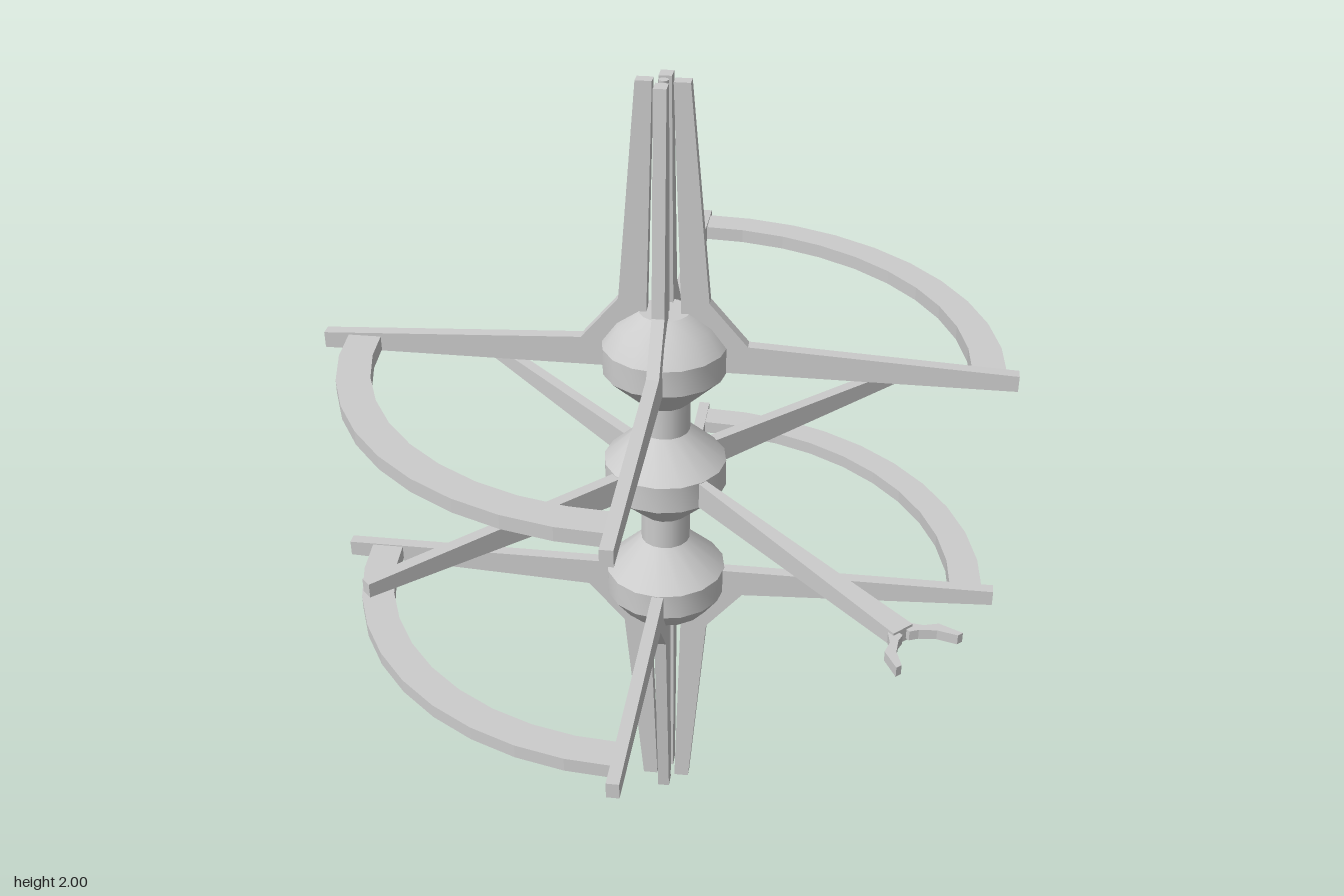
import * as THREE from 'three';
import { toCreasedNormals } from 'three/addons/utils/BufferGeometryUtils.js';

const material = new THREE.MeshStandardMaterial({ color: 0xcccccc });

function add(parent, name, geometry) {
  const mesh = new THREE.Mesh(geometry, material);
  mesh.name = name;
  parent.add(mesh);
  return mesh;
}

const toShape = (points) => new THREE.Shape(points.map(([x, y]) => new THREE.Vector2(x, y)));

// Upright plate: outline in (radius, height), centred on its thickness
function plate(points, thickness) {
  const g = new THREE.ExtrudeGeometry(toShape(points), { depth: thickness, bevelEnabled: false });
  return g.translate(0, 0, -thickness / 2);
}

// Flat slab: outline in (x, z), between two heights
function slab(points, bottom, top) {
  const g = new THREE.ExtrudeGeometry(toShape(points), { depth: top - bottom, bevelEnabled: false });
  return g.rotateX(Math.PI / 2).translate(0, top, 0);
}

// Curved beam made of ten straight segments, centred on the given direction
function arcBeam(inner, outer, middle) {
  const points = [];
  const steps = 10;
  const angle = (i) => middle - Math.PI / 4 + (i / steps) * Math.PI / 2;
  for (let i = 0; i <= steps; i++) points.push([outer * Math.cos(angle(i)), outer * Math.sin(angle(i))]);
  for (let i = steps; i >= 0; i--) points.push([inner * Math.cos(angle(i)), inner * Math.sin(angle(i))]);
  return slab(points, 0.293, 0.328);
}

function turned(points) {
  const g = new THREE.LatheGeometry(points.map(([r, y]) => new THREE.Vector2(r, y)), 16);
  return toCreasedNormals(g, 0.5);
}

// One end of the station; heights are measured from the middle
function createEnd() {
  const end = new THREE.Group();
  add(end, 'neck', new THREE.CylinderGeometry(0.062, 0.062, 0.1, 16).translate(0, 0.165, 0));
  add(end, 'endHub', turned([[0, 0.2], [0.062, 0.2], [0.152, 0.288], [0.152, 0.355],
    [0.115, 0.405], [0.062, 0.44], [0, 0.44]]));
  add(end, 'mast', new THREE.CylinderGeometry(0.012, 0.012, 0.57, 8).translate(0, 0.715, 0));

  // Bent arms: a long horizontal leg and a tapering upright leg
  const profile = [[0.1, 0.29], [0.835, 0.29], [0.835, 0.33], [0.2, 0.362],
    [0.108, 0.47], [0.062, 1], [0.024, 1], [0.042, 0.42], [0.1, 0.38]];
  for (let i = 0; i < 4; i++) {
    add(end, 'bentArm', plate(profile, 0.03)).rotation.y = Math.PI / 4 + i * Math.PI / 2;
  }

  add(end, 'frontArc', arcBeam(0.695, 0.775, Math.PI / 2));
  add(end, 'backArc', arcBeam(0.727, 0.807, -Math.PI / 2));
  return end;
}

export function createModel() {
  const model = new THREE.Group();
  model.name = 'spaceStation';
  const station = new THREE.Group();
  station.name = 'station';
  station.position.set(-0.05, 1, 0);
  model.add(station);

  // Top and bottom ends
  const top = createEnd();
  top.name = 'topEnd';
  const bottom = createEnd();
  bottom.name = 'bottomEnd';
  bottom.rotation.z = Math.PI;
  station.add(top, bottom);

  add(station, 'middleHub', turned([[0, -0.12], [0.062, -0.12], [0.152, -0.035],
    [0.152, 0.035], [0.062, 0.12], [0, 0.12]]));

  // Straight arms to the front, back and right
  const straight = [[0.08, -0.037], [0.15, -0.037], [0.838, -0.014], [0.838, 0.021],
    [0.15, 0.033], [0.08, 0.033]];
  for (const [name, angle] of [['frontArm', -Math.PI / 2], ['backArm', Math.PI / 2], ['rightArm', Math.PI]]) {
    add(station, name, plate(straight, 0.03)).rotation.y = angle;
  }

  // Left arm: grows wider and lower towards the docking claw
  const arm = new THREE.BoxGeometry(0.75, 1, 1).translate(0.475, 0, 0);
  const p = arm.attributes.position;
  for (let i = 0; i < p.count; i++) {
    const outer = p.getX(i) > 0.4;
    p.setY(i, p.getY(i) * (outer ? 0.036 : 0.07));
    p.setZ(i, p.getZ(i) * (outer ? 0.056 : 0.02));
  }
  arm.computeVertexNormals();
  add(station, 'leftArm', arm);

  // Claw prongs, mirrored across the arm
  const prong = [[0.825, 0.012], [0.86, 0.01], [0.868, 0.03], [0.893, 0.06], [0.933, 0.083],
    [0.933, 0.098], [0.878, 0.08], [0.862, 0.05], [0.835, 0.03]];
  for (const side of [1, -1]) {
    add(station, 'clawProng', slab(prong.map(([x, z]) => [x, z * side]), -0.012, 0.012));
  }
  return model;
}
